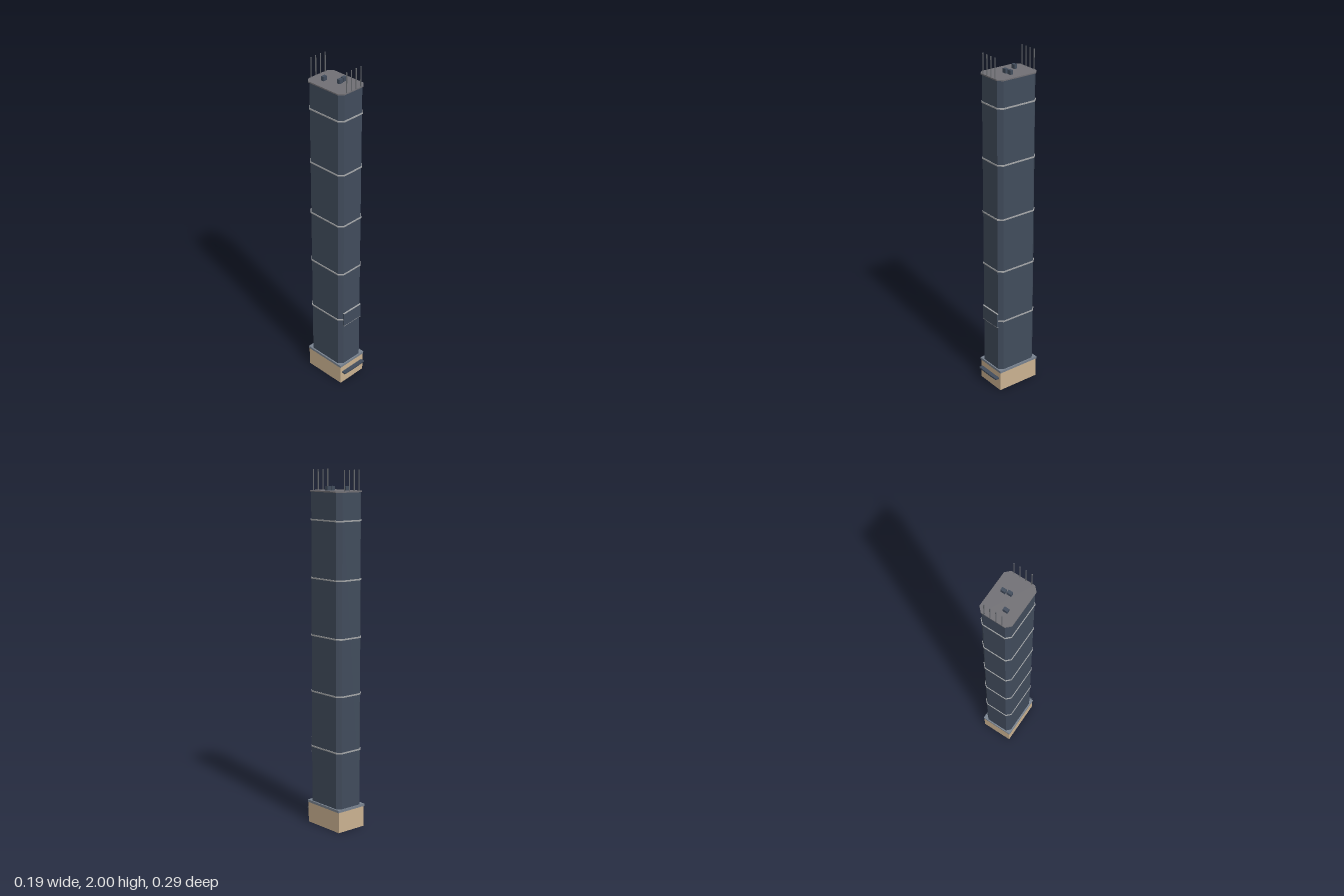
import * as THREE from 'three';

const mat = (name, color, side = THREE.FrontSide) => {
  const m = new THREE.MeshStandardMaterial({ color, side });
  m.name = name;
  return m;
};

// Rectangle with cut corners, centred on the origin
function octagon(hx, hz, c) {
  const pts = [
    [hx, -hz + c], [hx, hz - c], [hx - c, hz], [-hx + c, hz],
    [-hx, hz - c], [-hx, -hz + c], [-hx + c, -hz], [hx - c, -hz],
  ];
  return new THREE.Shape(pts.map(([x, y]) => new THREE.Vector2(x, y)));
}

function rectangle(hx, hz) {
  return new THREE.Shape([[-hx, -hz], [hx, -hz], [hx, hz], [-hx, hz]].map(([x, y]) => new THREE.Vector2(x, y)));
}

// Extrude a plan shape upward from y = 0
function slab(shape, height) {
  const g = new THREE.ExtrudeGeometry(shape, { depth: height, bevelEnabled: false, curveSegments: 10 });
  return g.rotateX(-Math.PI / 2);
}

export function createModel() {
  const model = new THREE.Group();
  model.name = 'skyscraper';

  const glass = mat('blueGreyGlass', 0x414c5c);
  const stone = mat('tanStone', 0xcbb291, THREE.DoubleSide);
  const trim = mat('paleTrim', 0xa4a6a8);
  const roofGrey = mat('roofGrey', 0x717075);
  const ledgeGrey = mat('ledgeGrey', 0x78828f);
  const mastGrey = mat('mastGrey', 0x686b70);

  const add = (parent, name, geometry, material, x, y, z) => {
    const m = new THREE.Mesh(geometry, material);
    m.name = name;
    m.position.set(x, y, z);
    parent.add(m);
    return m;
  };

  const ZC = -0.012; // plan centre of the tower; the canopy sits in front of it

  // Hollow base, open underneath
  const baseShape = rectangle(0.093, 0.131);
  baseShape.holes.push(rectangle(0.091, 0.129));
  add(model, 'baseWalls', slab(baseShape, 0.12), stone, 0, 0, ZC);
  add(model, 'baseLedge', new THREE.BoxGeometry(0.194, 0.014, 0.267), ledgeGrey, 0, 0.125, ZC);

  // Tower shaft and roof
  add(model, 'towerShaft', slab(octagon(0.0885, 0.126, 0.023), 1.752), glass, 0, 0.13, ZC);
  add(model, 'roofSlab', slab(octagon(0.0945, 0.1315, 0.026), 0.007), roofGrey, 0, 1.881, ZC);

  // Horizontal floor bands
  const bands = new THREE.Group();
  bands.name = 'floorBands';
  model.add(bands);
  const bandGeometry = slab(octagon(0.092, 0.1295, 0.0245), 0.008);
  for (let i = 0; i < 5; i++) add(bands, 'floorBand', bandGeometry, trim, 0, 0.451 + i * 0.3188, ZC);

  // Panel on the front, edged above and below
  add(model, 'frontPanel', new THREE.BoxGeometry(0.136, 0.084, 0.01), glass, 0, 0.457, 0.117);
  for (const y of [0.414, 0.5]) {
    add(model, 'panelEdge', new THREE.BoxGeometry(0.136, 0.004, 0.01), trim, 0, y, 0.117);
  }

  // Entrance canopy with a slightly bowed front
  const canopy = new THREE.Shape();
  canopy.moveTo(-0.081, -0.118);
  canopy.lineTo(-0.081, -0.1425);
  canopy.quadraticCurveTo(0, -0.147, 0.081, -0.1425);
  canopy.lineTo(0.081, -0.118);
  canopy.closePath();
  add(model, 'entranceCanopy', slab(canopy, 0.009), glass, 0, 0.072, 0);

  // Roof equipment
  const unit = new THREE.BoxGeometry(0.026, 0.025, 0.018);
  for (const [x, z] of [[-0.027, -0.07], [0.006, 0.013], [0.039, 0.008]]) {
    add(model, 'roofUnit', unit, glass, x, 1.899, z);
  }

  // Two rows of masts along the front and back edges
  const mast = new THREE.CylinderGeometry(0.003, 0.003, 0.113, 8);
  for (const z of [-0.14, 0.116]) {
    for (let i = 0; i < 4; i++) add(model, 'roofMast', mast, mastGrey, -0.0515 + i * 0.0343, 1.9435, z);
  }

  return model;
}
